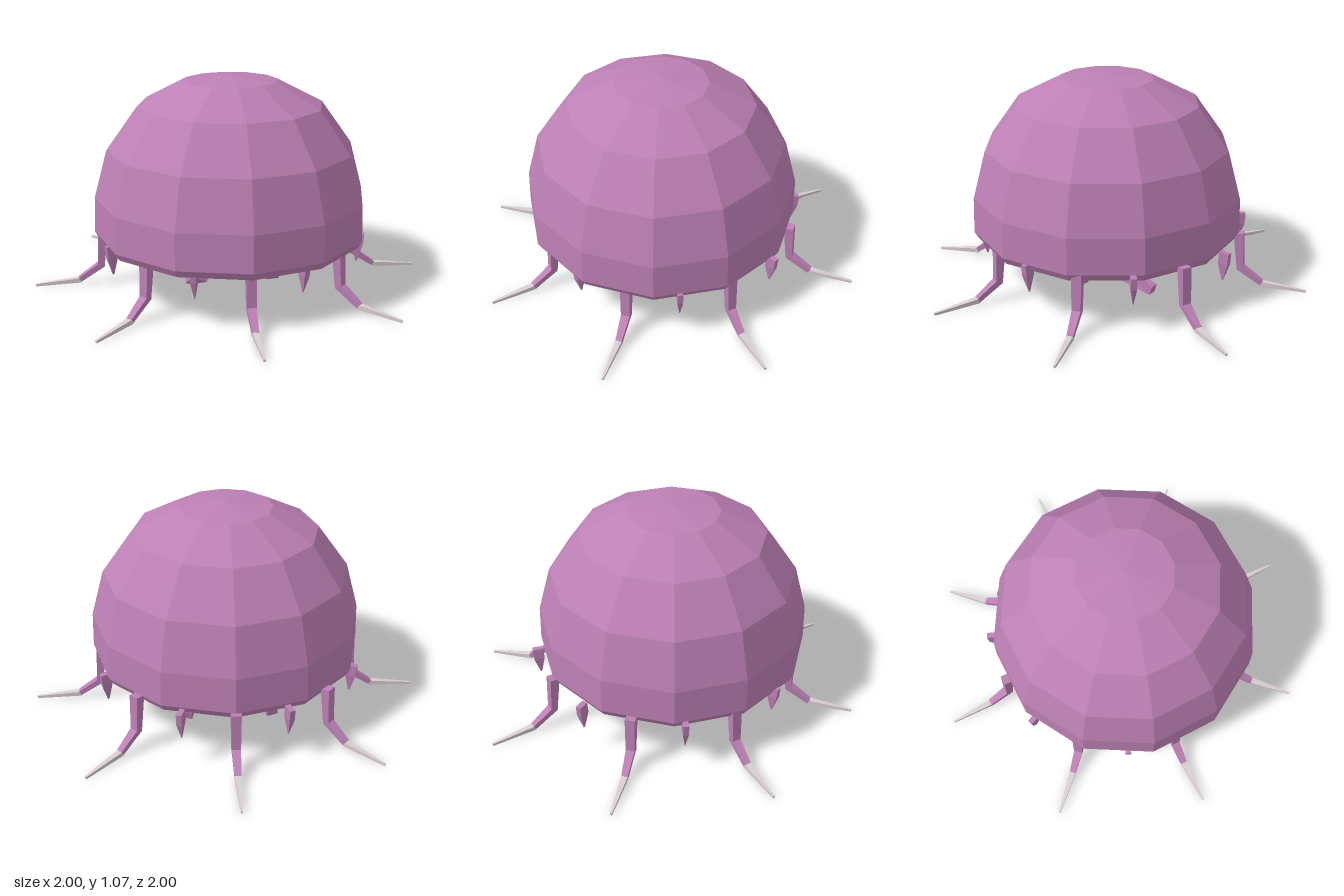
import * as THREE from 'three';

const skin = new THREE.MeshStandardMaterial({ color: 0xbd80b5 });
skin.name = 'mauve skin';
const pale = new THREE.MeshStandardMaterial({ color: 0xd8cdd0 });
pale.name = 'pale tip';

// Faceted mesh with one normal per face
function facet(name, geometry, material) {
  const flat = geometry.index ? geometry.toNonIndexed() : geometry;
  flat.computeVertexNormals();
  const mesh = new THREE.Mesh(flat, material);
  mesh.name = name;
  return mesh;
}

// Four-sided limb through points; sizes are [half width along side, half thickness]
function limb(points, sizes, side) {
  const p = points.map((a) => new THREE.Vector3(...a));
  const pos = [], index = [], n = p.length;
  p.forEach((c, i) => {
    const t = p[Math.min(i + 1, n - 1)].clone().sub(p[Math.max(i - 1, 0)]).normalize();
    const s = side.clone().addScaledVector(t, -side.dot(t)).normalize();
    const u = t.clone().cross(s);
    for (const [a, b] of [[1, 1], [-1, 1], [-1, -1], [1, -1]]) {
      const v = c.clone().addScaledVector(s, a * sizes[i][0]).addScaledVector(u, b * sizes[i][1]);
      pos.push(v.x, v.y, v.z);
    }
  });
  for (let i = 0; i < n - 1; i++) {
    for (let k = 0; k < 4; k++) {
      const a = i * 4 + k, b = i * 4 + ((k + 1) % 4);
      index.push(a, b, b + 4, a, b + 4, a + 4);
    }
  }
  const e = (n - 1) * 4;
  index.push(0, 2, 1, 0, 3, 2, e, e + 1, e + 2, e, e + 2, e + 3);
  const g = new THREE.BufferGeometry();
  g.setAttribute('position', new THREE.Float32BufferAttribute(pos, 3));
  g.setIndex(index);
  return g;
}

export function createModel() {
  const model = new THREE.Group();
  model.name = 'jellyfish';
  const sideZ = new THREE.Vector3(0, 0, 1);
  const sideX = new THREE.Vector3(1, 0, 0);

  // Twelve-sided bell with a hollow underside
  const profile = [
    [0, 0.32], [0.29, 0.4], [0.67, 0.265], [0.69, 0.3], [0.685, 0.48],
    [0.62, 0.72], [0.465, 0.935], [0.235, 1.055], [0, 1.08],
  ].map(([x, y]) => new THREE.Vector2(x, y));
  const bell = facet('bell', new THREE.LatheGeometry(profile, 12), skin);
  bell.position.z = 0.04;
  model.add(bell);

  // Eight bent tentacles with pale tips, and short spikes between them
  for (let i = 0; i < 8; i++) {
    const tentacle = new THREE.Group();
    tentacle.name = 'tentacle';
    tentacle.add(
      facet('tentacleStalk', limb(
        [[0.65, 0.3, 0], [0.665, 0.11, 0], [0.775, 0.035, 0]],
        [[0.025, 0.024], [0.022, 0.018], [0.016, 0.012]], sideZ), skin),
      facet('tentacleTip', limb(
        [[0.77, 0.032, 0], [1, 0.014, 0]],
        [[0.016, 0.012], [0.005, 0.006]], sideZ), pale),
    );
    tentacle.rotation.y = (i * Math.PI) / 4;
    model.add(tentacle);

    const spike = facet('shortSpike', limb(
      [[0.67, 0.3, 0], [0.665, 0.24, 0], [0.66, 0.15, 0]],
      [[0.014, 0.026], [0.014, 0.026], [0.001, 0.004]], sideZ), skin);
    spike.rotation.y = ((i + 0.5) * Math.PI) / 4;
    model.add(spike);
  }

  // Central mouth stem
  const stem = facet('mouthStem', new THREE.CylinderGeometry(0.09, 0.04, 0.22, 6), skin);
  stem.position.set(0, 0.27, 0.01);
  model.add(stem);

  // Crooked oral arms
  const thick = [[0.045, 0.04], [0.042, 0.04], [0.038, 0.036], [0.028, 0.022]];
  const arms = [
    [[0.05, 0.32, -0.08], [0.14, 0.17, -0.15], [0.18, 0.075, -0.12], [0.22, 0.035, -0.26]],
    [[-0.05, 0.32, 0.02], [-0.14, 0.17, 0.13], [-0.18, 0.09, 0.18], [-0.215, 0.035, 0.09]],
    [[0.05, 0.32, 0.05], [0.13, 0.17, 0.13], [0.18, 0.09, 0.17], [0.215, 0.035, 0.09]],
    [[-0.05, 0.32, -0.08], [-0.14, 0.17, -0.15], [-0.18, 0.075, -0.12], [-0.22, 0.035, -0.26]],
  ];
  for (const path of arms) model.add(facet('oralArm', limb(path, thick, sideX), skin));

  // Small frills around the mouth
  for (let i = 0; i < 5; i++) {
    const frill = facet('mouthFrill', limb(
      [[0.01, 0.17, 0], [0.06, 0.13, 0], [0.1, 0.12, 0]],
      [[0.03, 0.012], [0.03, 0.01], [0.004, 0.003]], sideZ), skin);
    frill.position.z = 0.01;
    frill.rotation.y = (i * Math.PI * 2) / 5;
    model.add(frill);
  }
  return model;
}
